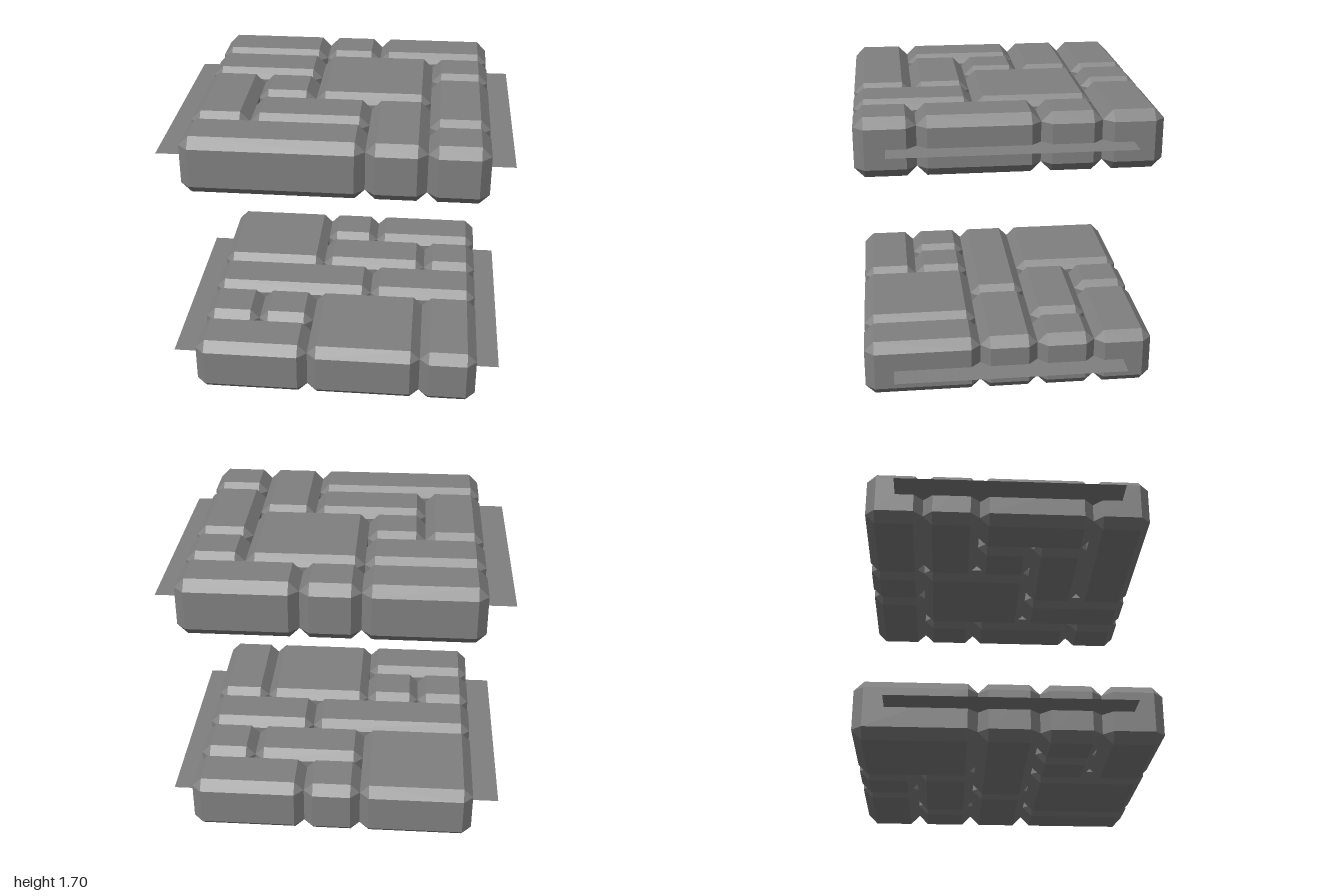
import * as THREE from 'three';
import { ConvexGeometry } from 'three/addons/geometries/ConvexGeometry.js';

const CELL = 0.339;   // paving grid step and stone height
const BEVEL = 0.056;
const X0 = -0.836, Z0 = -0.849;

// Stones of each layer as [column, row, columns wide, rows deep], row 0 at the back
const UPPER = [
  [0, 0, 2, 1], [2, 0, 1, 1], [3, 0, 2, 1],
  [0, 1, 2, 1], [2, 1, 2, 2], [4, 1, 1, 1],
  [0, 2, 1, 2], [1, 2, 1, 1], [4, 2, 1, 2],
  [1, 3, 2, 1], [3, 3, 1, 2],
  [0, 4, 3, 1], [4, 4, 1, 1],
];
const LOWER = [
  [0, 0, 2, 2], [2, 0, 1, 1], [3, 0, 2, 1],
  [2, 1, 2, 1], [4, 1, 1, 1],
  [0, 2, 3, 1], [3, 2, 2, 1],
  [0, 3, 1, 1], [1, 3, 1, 1], [2, 3, 2, 2], [4, 3, 1, 2],
  [0, 4, 2, 1],
];

// Box with every edge chamfered: each corner becomes a small triangle
function chamferedBox(w, h, d, b) {
  const points = [];
  for (const sx of [-1, 1]) for (const sy of [-1, 1]) for (const sz of [-1, 1]) {
    const x = w / 2, y = h / 2, z = d / 2;
    for (const [px, py, pz] of [[x, y - b, z - b], [x - b, y, z - b], [x - b, y - b, z]]) {
      points.push(new THREE.Vector3(sx * px, sy * py, sz * pz));
    }
  }
  return new ConvexGeometry(points);
}

export function createModel() {
  const model = new THREE.Group();
  model.name = 'pavingLayers';
  const stoneMaterial = new THREE.MeshStandardMaterial({ color: 0x808080, flatShading: true });
  const sheetMaterial = new THREE.MeshStandardMaterial({ color: 0x808080, side: THREE.DoubleSide });

  function addLayer(name, stones, y) {
    const layer = new THREE.Group();
    layer.name = name;
    layer.position.y = y;

    // Interlocking stones
    for (const [col, row, w, d] of stones) {
      const stone = new THREE.Mesh(chamferedBox(w * CELL, CELL, d * CELL, BEVEL), stoneMaterial);
      stone.name = 'stone';
      stone.position.set(X0 + (col + w / 2) * CELL, CELL / 2, Z0 + (row + d / 2) * CELL);
      layer.add(stone);
    }

    // Thin mortar sheet through the middle of the stones
    const sheet = new THREE.Mesh(new THREE.PlaneGeometry(2, 1.355), sheetMaterial);
    sheet.name = 'mortarSheet';
    sheet.rotation.x = -Math.PI / 2;
    sheet.position.y = CELL / 2;
    layer.add(sheet);
    model.add(layer);
  }

  addLayer('lowerPaving', LOWER, 0);
  addLayer('upperPaving', UPPER, 1.358);
  return model;
}
